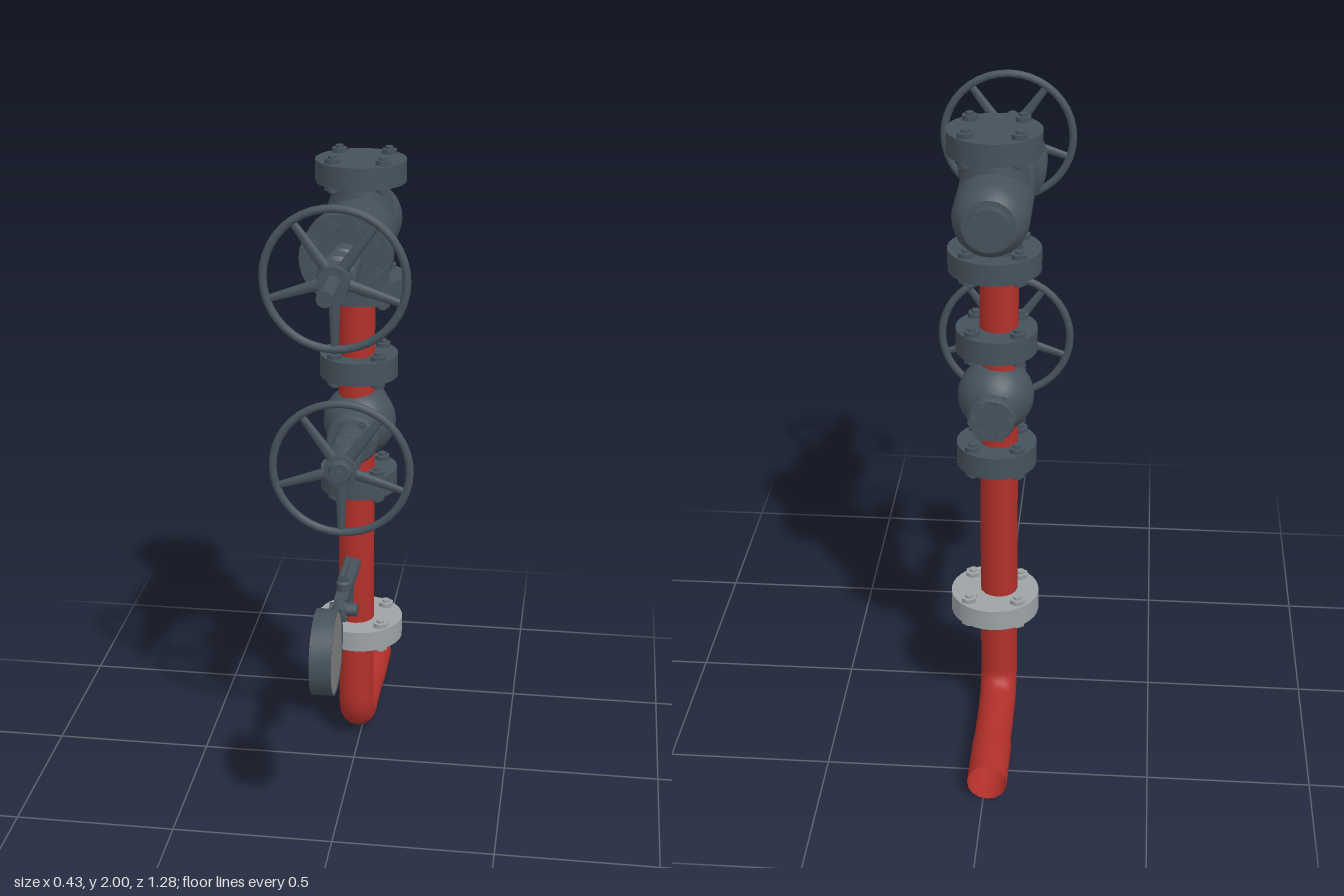
import * as THREE from 'three';
import { toCreasedNormals } from 'three/addons/utils/BufferGeometryUtils.js';

const mat = (color, side = THREE.FrontSide) => new THREE.MeshStandardMaterial({ color, side });

export function createModel() {
  const iron = mat(0x46525c), red = mat(0xb3302a, THREE.DoubleSide);
  const steel = mat(0x9da3a6), dial = mat(0x808080);
  const root = new THREE.Group();
  root.name = 'valveStack';

  const add = (parent, name, geo, material, x = 0, y = 0, z = 0) => {
    const mesh = new THREE.Mesh(geo, material);
    mesh.name = name;
    mesh.position.set(x, y, z);
    parent.add(mesh);
    return mesh;
  };
  const group = (parent, name, x = 0, y = 0, z = 0) => {
    const g = new THREE.Group();
    g.name = name;
    g.position.set(x, y, z);
    parent.add(g);
    return g;
  };
  // Turned part from [radius, height] pairs, listed from low to high
  const lathe = (pairs, sides = 28) => toCreasedNormals(
    new THREE.LatheGeometry(pairs.map(([r, h]) => new THREE.Vector2(r, h)), sides), 0.6);
  // Solid cylinder between two heights
  const rod = (r, h0, h1, sides = 20) =>
    new THREE.CylinderGeometry(r, r, h1 - h0, sides).translate(0, (h0 + h1) / 2, 0);

  // Ring of hex nuts with stud tips; dir is +1 (up) or -1 (down)
  function boltRing(parent, r, h, n, size, dir = 1) {
    for (let i = 0; i < n; i++) {
      const a = (i + 0.5) * Math.PI * 2 / n;
      const b = group(parent, 'bolt', r * Math.sin(a), h, r * Math.cos(a));
      if (dir < 0) b.rotation.x = Math.PI;
      const material = parent.userData.material || iron;
      add(b, 'nut', rod(size, -0.003, size * 0.55, 6).toNonIndexed(), material);
      add(b, 'stud', rod(size * 0.5, 0, size * 0.9, 8), material);
    }
  }

  // Pipe flange with nuts on both faces
  function flange(name, x, y0, y1, z, r, material = iron) {
    const g = group(root, name, x, 0, z);
    g.userData.material = material;
    add(g, 'disc', rod(r, y0, y1, 32), material);
    boltRing(g, r * 0.78, y1, 4, 0.025);
    boltRing(g, r * 0.78, y0, 4, 0.025, -1);
  }

  // Five-spoke handwheel lying across the local y axis
  function handwheel(parent, h, r) {
    const g = group(parent, 'handwheel', 0, h, 0);
    add(g, 'rim', new THREE.TorusGeometry(r - 0.012, 0.012, 10, 40).rotateX(Math.PI / 2), iron);
    for (let i = 0; i < 5; i++) {
      const len = r - 0.05;
      const geo = new THREE.CylinderGeometry(0.011, 0.018, len, 8).scale(1, 1, 0.5)
        .translate(0, len / 2 + 0.033, 0).rotateX(Math.PI / 2);
      add(g, 'spoke', geo, iron).rotation.y = i * Math.PI * 2 / 5;
    }
  }

  // Red pipework
  const px = -0.012, pz = -0.15, pr = 0.058;
  const pipe = group(root, 'pipe', px, 0, pz);
  const tube = (r, h0, h1) =>
    new THREE.CylinderGeometry(r, r, h1 - h0, 16, 1, true).translate(0, (h0 + h1) / 2, 0);
  add(pipe, 'riser', tube(pr, 0.165, 1.6), red);
  add(pipe, 'elbow', new THREE.TorusGeometry(0.1, pr, 16, 6, Math.PI / 2)
    .rotateZ(-Math.PI / 2).rotateY(-Math.PI / 2), red, 0, 0.165, -0.1);
  add(pipe, 'inlet', tube(pr, 0.1, 0.3).rotateX(-Math.PI / 2), red, 0, 0.065, 0);
  add(pipe, 'inletSleeve', lathe([[pr, 0.28], [0.061, 0.3], [0.061, 0.49]], 16)
    .rotateX(-Math.PI / 2), red, 0, 0.065, 0);

  // Flanges up the riser
  flange('lowerFlange', 0, 0.39, 0.457, -0.159, 0.138, steel);
  flange('middleValveBottomFlange', -0.005, 0.92, 0.99, -0.156, 0.122);
  flange('middleValveTopFlange', -0.005, 1.3, 1.372, -0.156, 0.122);
  flange('upperValveBottomFlange', 0, 1.56, 1.625, -0.159, 0.138);
  flange('topFlange', 0, 1.915, 1.982, -0.159, 0.138);

  // Upper valve: local y points to the front
  const upper = group(root, 'upperValve', 0, 1.768, 0);
  upper.rotation.x = Math.PI / 2;
  add(upper, 'body', lathe([[0, -0.395], [0.062, -0.395], [0.062, -0.368], [0.078, -0.366],
    [0.095, -0.35], [0.106, -0.325], [0.111, -0.295], [0.111, 0.09], [0.134, 0.114],
    [0.134, 0.194], [0, 0.194]], 32), iron);
  boltRing(upper, 0.1, 0.194, 8, 0.02);
  add(upper, 'bonnet', lathe([[0.05, 0.19], [0.05, 0.25], [0.035, 0.262], [0.022, 0.262],
    [0.022, 0.3], [0.058, 0.305], [0.058, 0.357], [0.046, 0.365], [0.046, 0.43],
    [0.024, 0.43], [0.024, 0.58], [0, 0.58]], 20), iron);
  for (const s of [-1, 1])
    add(upper, 'yokeBar', new THREE.BoxGeometry(0.016, 0.07, 0.03), iron, s * 0.03, 0.275, 0);
  handwheel(upper, 0.397, 0.214);
  add(root, 'upperValveNeck', lathe([[0.085, 1.6], [0.08, 1.64], [0.1, 1.69], [0.1, 1.845],
    [0.08, 1.895], [0.085, 1.93]]), iron, 0, 0, -0.159);

  // Middle valve: round body, bonnet with open yoke, bolted back cap
  const middle = group(root, 'middleValve', -0.003, 1.147, 0);
  middle.rotation.x = Math.PI / 2;
  add(middle, 'body', new THREE.SphereGeometry(0.115, 28, 18), iron, 0, -0.157, 0);
  add(middle, 'backCap', lathe([[0, -0.335], [0.066, -0.335], [0.07, -0.328], [0.07, -0.305],
    [0.05, -0.3], [0.05, -0.22]]), iron);
  boltRing(middle, 0.054, -0.335, 6, 0.016, -1);
  boltRing(middle, 0.06, -0.304, 6, 0.014);
  add(middle, 'bonnet', lathe([[0.07, -0.09], [0.07, -0.045], [0.08, -0.04], [0.08, 0.025],
    [0.074, 0.035], [0.052, 0.04], [0.052, 0.13], [0, 0.13]]), iron);
  boltRing(middle, 0.062, 0.032, 6, 0.014);
  for (const s of [-1, 1])
    add(middle, 'yokeBar', new THREE.BoxGeometry(0.06, 0.06, 0.014), iron, 0, 0.15, s * 0.042);
  add(middle, 'yokeTop', lathe([[0, 0.175], [0.052, 0.175], [0.052, 0.21], [0.036, 0.215],
    [0.036, 0.245], [0.048, 0.247], [0.048, 0.28], [0.036, 0.282], [0.03, 0.3],
    [0.012, 0.3], [0.012, 0.312], [0, 0.312]], 20), iron);
  add(middle, 'stem', rod(0.014, 0.12, 0.2, 12), iron);
  handwheel(middle, 0.26, 0.217);

  // Gauge branch along +z with needle valve and T handles
  const branch = group(root, 'gaugeBranch', px, 0.672, 0);
  branch.rotation.x = Math.PI / 2;
  add(branch, 'branchPipe', lathe([[0.022, -0.1], [0.022, 0.01], [0.016, 0.012], [0.016, 0.05],
    [0.022, 0.052], [0.022, 0.06]], 16), iron);
  add(branch, 'needleValveBody', new THREE.BoxGeometry(0.04, 0.17, 0.048), iron, 0, 0.135, 0);
  add(branch, 'gaugeStem', lathe([[0.024, 0.21], [0.024, 0.275], [0.016, 0.277], [0.016, 0.285],
    [0.022, 0.287], [0.022, 0.34], [0.011, 0.342], [0.011, 0.4]], 14), iron);
  add(branch, 'bleedScrew', rod(0.02, -0.03, 0.055, 12).rotateZ(-Math.PI / 2), iron, 0, 0.235, 0);
  for (const [name, s, z] of [['upperTap', 1, 0.15], ['lowerTap', -1, 0.085]]) {
    const tap = group(root, name, px, 0.672, z);
    if (s < 0) tap.rotation.x = Math.PI;
    add(tap, 'tapStem', lathe([[0.022, 0.01], [0.022, 0.05], [0.015, 0.055], [0.015, 0.068],
      [0.008, 0.07], [0.008, 0.09], [0, 0.09]], 12), iron);
    add(tap, 'tapHandle', rod(0.01, -0.073, 0.073, 10).rotateX(Math.PI / 2), iron,
      0, 0.086, s > 0 ? -0.023 : 0.02);
  }

  // Round gauge, dial facing the model's left
  const gauge = group(root, 'gauge', px, 0.67, 0.513);
  gauge.rotation.z = -Math.PI / 2;
  add(gauge, 'gaugeCase', lathe([[0, -0.032], [0.127, -0.032], [0.127, 0.032], [0.121, 0.032],
    [0.121, 0.026]], 36), iron);
  add(gauge, 'dial', rod(0.122, 0.02, 0.029, 36), dial);

  return root;
}
